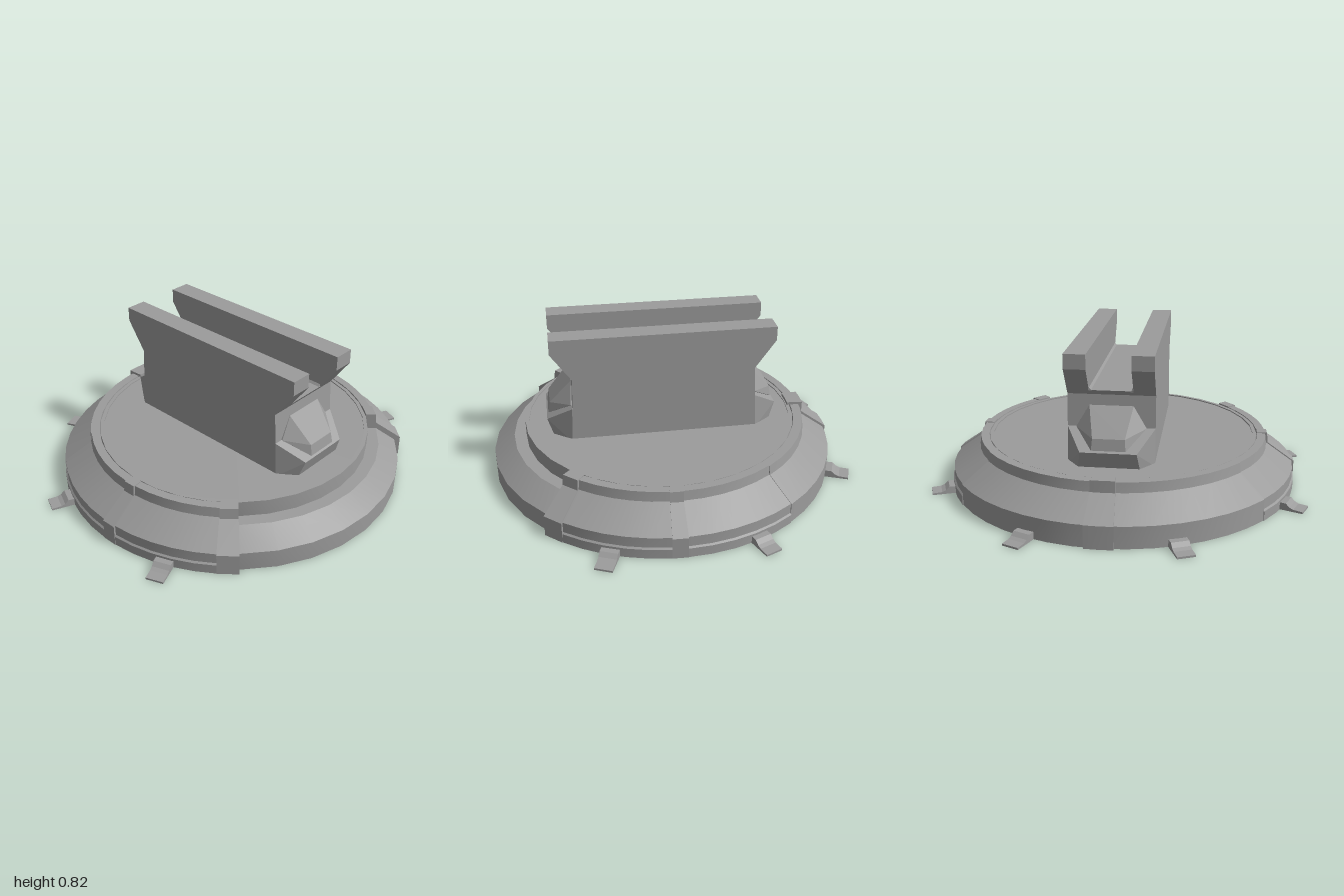
import * as THREE from 'three';
import { toCreasedNormals } from 'three/addons/utils/BufferGeometryUtils.js';
import { ConvexGeometry } from 'three/addons/geometries/ConvexGeometry.js';

const material = new THREE.MeshStandardMaterial({ color: 0x9c9c9c });
const rad = THREE.MathUtils.degToRad;
const pts = (list) => list.map(([x, y]) => new THREE.Vector2(x, y));

// Extrude an outline along z, centred on z = 0
function prism(outline, depth) {
  const g = new THREE.ExtrudeGeometry(new THREE.Shape(pts(outline)), { depth, bevelEnabled: false });
  return g.translate(0, 0, -depth / 2);
}

// Sweep a (radius, height) outline around y; degrees run from +x towards +z
function arcBlock(outline, from, to) {
  const g = new THREE.ExtrudeGeometry(new THREE.Shape(pts(outline)), {
    depth: rad(to - from), steps: Math.ceil((to - from) / 8), bevelEnabled: false,
  });
  const p = g.attributes.position;
  for (let i = 0; i < p.count; i++) {
    const r = p.getX(i), a = rad(from) + p.getZ(i);
    p.setXYZ(i, r * Math.cos(a), p.getY(i), r * Math.sin(a));
  }
  return toCreasedNormals(g, rad(30));
}

// Convex solid from points mirrored across x = 0
function mirroredHull(half) {
  return new ConvexGeometry([1, -1].flatMap((s) => half.map(([x, y, z]) => new THREE.Vector3(s * x, y, z))));
}

export function createModel() {
  const model = new THREE.Group();
  model.name = 'mountingBase';
  const add = (name, geometry, parent = model) => {
    const mesh = new THREE.Mesh(geometry, material);
    mesh.name = name;
    parent.add(mesh);
    return mesh;
  };

  // Stepped round base with a slightly sunken top plate
  const base = new THREE.LatheGeometry(pts([
    [0, 0], [0.912, 0], [0.912, 0.1], [0.8, 0.18], [0.735, 0.18],
    [0.735, 0.264], [0.715, 0.264], [0.715, 0.258], [0, 0.258],
  ]), 32);
  add('base', toCreasedNormals(base, rad(30)));

  // Outer collar, open at the front: clips and a lower band frame the recessed side panels
  const collarTop = (r, top) => [
    [r, 0.113], [r - 0.145, 0.215], [r - 0.152, top], [0.738, top], [0.738, 0],
  ];
  const sidePanel = [[0.942, 0], [0.942, 0.05], [0.934, 0.058], ...collarTop(0.934, 0.266)];
  const backPanel = [[0.938, 0], ...collarTop(0.938, 0.266)];
  const clip = [[0.944, 0], ...collarTop(0.944, 0.27)];
  const pieces = [
    ['frontClip', clip, 38, 44.6],
    ['frontPanel', sidePanel, 4.7, 38],
    ['sideClip', clip, 0, 4.7],
    ['sidePanel', sidePanel, -35.6, 0],
    ['backPanel', backPanel, -90, -35.6],
  ];
  for (const [name, outline, from, to] of pieces) {
    add(name + 'Left', arcBlock(outline, from, to));
    add(name + 'Right', arcBlock(outline, 180 - to, 180 - from));
  }
  add('backClip', arcBlock([
    [0.72, 0.2], [0.72, 0.28], [0.805, 0.28], [0.805, 0.22], [0.95, 0.118], [0.95, 0], [0.85, 0],
  ], -94.3, -85.7));

  // Six small stepped feet around the rim
  const footOutline = [
    [0.88, 0], [1.06, 0], [1.06, 0.01], [1.01, 0.012], [0.99, 0.02], [0.97, 0.038], [0.88, 0.038],
  ];
  for (const angle of [22.5, -22.5, -67.5, -112.5, -157.5, 157.5]) {
    add('foot', prism(footOutline, 0.09)).rotation.y = -rad(angle);
  }

  // Slotted bracket: two flared plates joined by a lower core
  const bracket = new THREE.Group();
  bracket.name = 'bracket';
  model.add(bracket);
  const mirrored = (half) => [...half, ...half.map(([z, y]) => [-z, y]).reverse()];
  const plate = mirrored([[0.492, 0.24], [0.475, 0.6], [0.582, 0.75], [0.582, 0.825]]);
  const core = mirrored([[0.492, 0.24], [0.475, 0.6], [0.493, 0.625]]);
  for (const s of [1, -1]) {
    add('bracketPlate', prism(plate, 0.11).rotateY(Math.PI / 2).translate(s * 0.165, 0, 0), bracket);
    // Small fillet in the slot corner
    const fillet = [[0.111, 0.62], [0.111, 0.637], [0.095, 0.62]];
    add('slotFillet', prism(fillet.map(([x, y]) => [s * x, y]), 0.98), bracket);
  }
  add('bracketCore', prism(core, 0.22).rotateY(Math.PI / 2), bracket);

  // At each end a sloped lower block carries a faceted nose
  const block = [
    [0.22, 0.435, 0.484], [0.22, 0.24, 0.492], [0.14, 0.343, 0.615], [0.155, 0.24, 0.58],
    [0.22, 0.435, 0.4], [0.22, 0.24, 0.4],
  ];
  const nose = [
    [0.11, 0.545, 0.479], [0.175, 0.435, 0.49], [0.08, 0.41, 0.597], [0.085, 0.352, 0.607],
    [0.11, 0.545, 0.4], [0.175, 0.435, 0.4], [0.085, 0.352, 0.4],
  ];
  for (const [side, turn] of [['front', 0], ['back', Math.PI]]) {
    add(side + 'Block', mirroredHull(block).rotateY(turn), bracket);
    add(side + 'Nose', mirroredHull(nose).rotateY(turn), bracket);
  }

  model.position.z = 0.04;
  return model;
}
